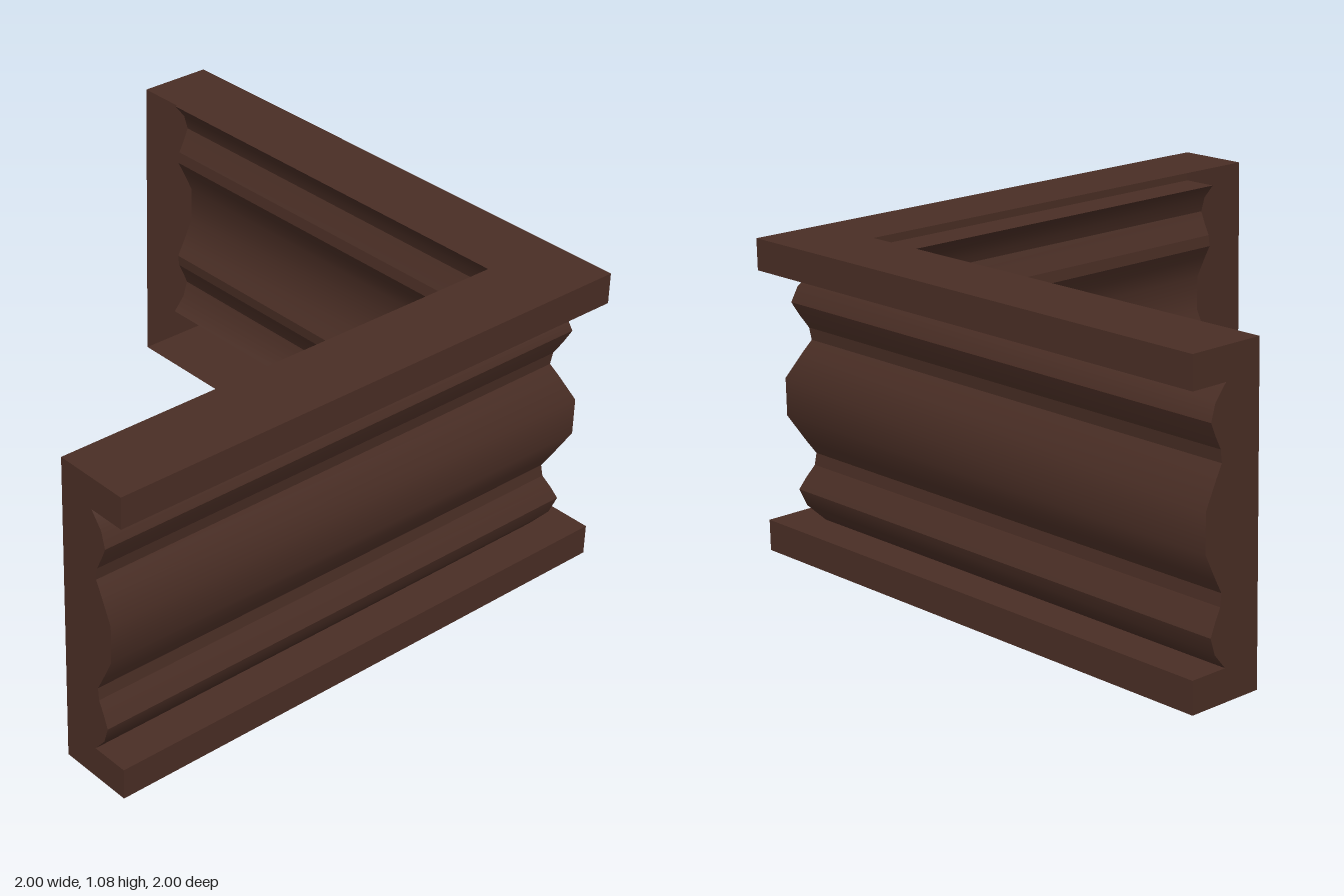
import * as THREE from 'three';

// Moulding bands as [distance from centre, height]; creases lie between bands
const H = 1.08;
const lower = [
  [[0.73, 0], [1, 0]],                              // underside
  [[1, 0], [1, 0.108]],                             // bottom fillet
  [[1, 0.108], [0.866, 0.108]],                     // ledge
  [[0.866, 0.108], [0.909, 0.16], [0.926, 0.216]],  // bead, lower half
  [[0.926, 0.216], [0.909, 0.257], [0.887, 0.302]], // bead, upper half
  [[0.887, 0.302], [0.882, 0.344]],                 // small fillet
];
const belly = [[0.882, 0.344], [0.904, 0.386], [0.947, 0.475],
  [0.947, 0.605], [0.904, 0.694], [0.882, 0.736]];
const upper = lower.map(b => b.map(([u, y]) => [u, H - y]).reverse()).reverse();
const bands = [...lower, belly, ...upper];

// Sweep one band between two ends given as functions of the offset u
function sweep(band, start, end) {
  const pos = [], idx = [];
  band.forEach(([u, y], i) => {
    const [ax, az] = start(u), [bx, bz] = end(u);
    pos.push(ax, y, az, bx, y, bz);
    const k = i * 2;
    if (i < band.length - 1) idx.push(k, k + 1, k + 2, k + 1, k + 3, k + 2);
  });
  const g = new THREE.BufferGeometry();
  g.setAttribute('position', new THREE.Float32BufferAttribute(pos, 3));
  g.setIndex(idx);
  g.computeVertexNormals();
  return g;
}

export function createModel() {
  const group = new THREE.Group();
  group.name = 'cornerMoulding';
  const wood = new THREE.MeshStandardMaterial({ color: 0x4a2e25, side: THREE.DoubleSide });
  wood.name = 'darkWood';
  const add = (parent, geometry, name) => {
    const m = new THREE.Mesh(geometry, wood);
    m.name = name;
    parent.add(m);
    return m;
  };

  // Two hollow arms meeting in a mitre, open on the inside
  const corner = u => [u, -u];
  const arms = {
    sideArm: [u => [u, 1], corner],
    backArm: [corner, u => [-1, -u]],
  };
  for (const [name, [start, end]] of Object.entries(arms)) {
    const arm = new THREE.Group();
    arm.name = name;
    bands.forEach((b, i) => add(arm, sweep(b, start, end), `${name}Band${i + 1}`));
    group.add(arm);
  }

  // Flat end caps with a straight inner edge
  const outline = new THREE.Shape(bands.flatMap((b, i) =>
    (i ? b.slice(1) : b).map(([u, y]) => new THREE.Vector2(u, y))));
  add(group, new THREE.ShapeGeometry(outline), 'sideEndCap').position.z = 1;
  add(group, new THREE.ShapeGeometry(outline).rotateY(Math.PI / 2), 'backEndCap').position.x = -1;
  return group;
}
